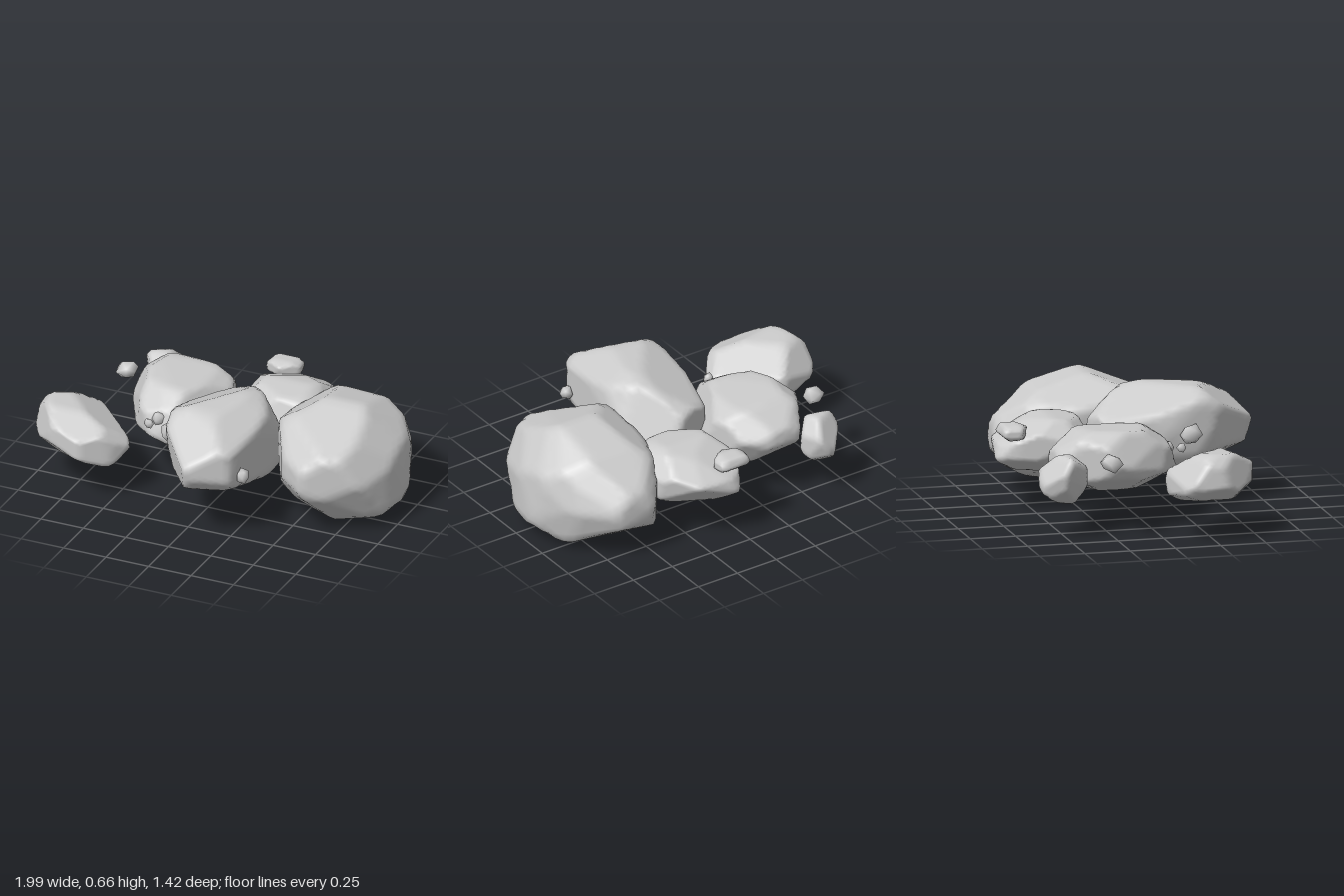
import * as THREE from 'three';
import { mergeVertices } from 'three/addons/utils/BufferGeometryUtils.js';

const material = new THREE.MeshStandardMaterial({ color: 0xcccccc });

// Right and up axes of a drawing plane turned about y, then tilted (degrees)
function plane(turn, tilt) {
  const a = THREE.MathUtils.degToRad(turn), e = THREE.MathUtils.degToRad(tilt);
  return [
    new THREE.Vector3(Math.cos(a), 0, -Math.sin(a)),
    new THREE.Vector3(-Math.sin(e) * Math.sin(a), Math.cos(e), -Math.sin(e) * Math.cos(a)),
  ];
}

const X = new THREE.Vector3(1, 0, 0), Y = new THREE.Vector3(0, 1, 0), Z = new THREE.Vector3(0, 0, 1);
const mainPlanes = [[X, Z], [X, Y], [Z, Y]];
const slantPlanes = [plane(35, 25), plane(215, 25), plane(140, -30)];

// How far direction d reaches in units of a convex outline around the centre
function gauge(outline, [right, up], d, centre) {
  const a = d.dot(right), b = d.dot(up), ca = centre.dot(right), cb = centre.dot(up);
  let g = 0;
  for (let i = 1; i < outline.length; i++) {
    const [a0, b0] = outline[i - 1], [a1, b1] = outline[i];
    const na = b1 - b0, nb = a0 - a1;
    g = Math.max(g, (na * a + nb * b) / (na * (a0 - ca) + nb * (b0 - cb)));
  }
  return g;
}

function range(outline, axis) {
  const v = outline.map((p) => p[axis]);
  return [Math.min(...v), Math.max(...v)];
}

// Sphere of welded vertices, reshaped by a rule
function ball(detail) {
  const g = new THREE.IcosahedronGeometry(1, detail);
  g.deleteAttribute('normal');
  g.deleteAttribute('uv');
  return mergeVertices(g, 1e-4);
}

// Stone blended from plan (x,z), front (x,y) and side (z,y) outlines, then cut by slanted facets
function rock(name, main, slants = [], detail = 10) {
  const [plan, front] = main;
  const lims = [range(plan, 0), range(front, 1), range(plan, 1)];
  const centre = new THREE.Vector3(...lims.map(([lo, hi]) => (lo + hi) / 2));
  const size = new THREE.Vector3(...lims.map(([lo, hi]) => (hi - lo) / 2));
  const closed = main.map((o) => [...o, o[0]]);
  const geo = ball(detail);
  const pos = geo.attributes.position;
  const d = new THREE.Vector3();
  for (let i = 0; i < pos.count; i++) {
    d.fromBufferAttribute(pos, i).multiply(size);
    const body = closed.map((o, k) => gauge(o, mainPlanes[k], d, centre));
    const cuts = slants.map((o, k) => gauge(o, slantPlanes[k], d, centre));
    const blend = (body.reduce((s, g) => s + g ** 6, 0) / 2) ** (1 / 6);
    d.divideScalar(Math.max(blend, ...body, ...cuts)).add(centre);
    pos.setXYZ(i, d.x, d.y, d.z);
  }
  geo.computeVertexNormals();
  const mesh = new THREE.Mesh(geo, material);
  mesh.name = name;
  return mesh;
}

// Octagonal outline for simple sides
function octagon(a0, a1, b0, b1) {
  const da = (a1 - a0) * 0.25, db = (b1 - b0) * 0.25;
  return [[a0 + da, b0], [a1 - da, b0], [a1, b0 + db], [a1, b1 - db],
    [a1 - da, b1], [a0 + da, b1], [a0, b1 - db], [a0, b0 + db]];
}

// Small angular stone
function pebble(name, [x, y, z], [rx, ry, rz], turn) {
  const geo = ball(0);
  const pos = geo.attributes.position;
  for (let i = 0; i < pos.count; i++) {
    const k = 1 + 0.15 * Math.sin(i * 2.4 + turn * 5);
    pos.setXYZ(i, pos.getX(i) * k, pos.getY(i) * k, pos.getZ(i) * k);
  }
  geo.rotateY(turn);
  geo.scale(rx, ry, rz);
  geo.computeVertexNormals();
  const mesh = new THREE.Mesh(geo, material);
  mesh.name = name;
  mesh.position.set(x, y, z);
  return mesh;
}

export function createModel() {
  const group = new THREE.Group();
  group.name = 'rockCluster';

  group.add(
    // Largest stone, reaching the ground
    rock('largeBoulder', [
      [[0.51, -0.6], [0.74, -0.58], [0.88, -0.46], [1, -0.15], [0.97, 0.05], [0.9, 0.26],
        [0.6, 0.385], [0.45, 0.28], [0.32, 0.05], [0.31, -0.2], [0.43, -0.5]],
      [[0.31, 0.5], [0.35, 0.56], [0.5, 0.63], [0.8, 0.62], [0.97, 0.43], [1, 0.11],
        [0.85, 0.03], [0.76, 0], [0.45, 0.12], [0.33, 0.27]],
      [[0.39, 0.29], [0.38, 0.38], [0.32, 0.49], [-0.08, 0.63], [-0.42, 0.54], [-0.57, 0.44],
        [-0.6, 0.3], [-0.57, 0.16], [-0.46, 0.09], [-0.2, 0], [0.03, 0.01], [0.17, 0.035], [0.26, 0.08]],
    ], [
      [[0.23, 0.37], [0.61, 0.51], [0.83, 0.45], [0.93, 0.31], [0.97, 0.2], [0.9, -0.07],
        [0.78, -0.19], [0.48, -0.19], [0.29, -0.06], [0.19, 0.08], [0.19, 0.24]],
      [[-0.56, 0.09], [-0.69, 0.06], [-0.91, 0.16], [-0.97, 0.32], [-0.91, 0.56],
        [-0.67, 0.73], [-0.37, 0.71], [-0.2, 0.58]],
      [[-0.85, 0.46], [-0.74, 0.65], [-0.58, 0.81], [-0.36, 0.86], [-0.06, 0.75], [0, 0.65],
        [0, 0.52], [-0.11, 0.37], [-0.27, 0.27], [-0.59, 0.17], [-0.76, 0.3], [-0.85, 0.46]],
    ]),
    // Long stone at the middle front
    rock('middleBoulder', [
      [[-0.12, -0.14], [0.1, -0.22], [0.3, -0.1], [0.34, 0.1], [0.32, 0.3], [0.3, 0.58],
        [0.07, 0.71], [-0.14, 0.52], [-0.2, 0.18]],
      [[-0.2, 0.45], [-0.17, 0.6], [-0.08, 0.66], [0.18, 0.66], [0.31, 0.6], [0.34, 0.4],
        [0.33, 0.23], [0.28, 0.19], [-0.08, 0.2], [-0.17, 0.3]],
      [[0.715, 0.48], [0.66, 0.54], [0.6, 0.58], [0.4, 0.655], [0.1, 0.66], [-0.05, 0.62],
        [-0.2, 0.5], [-0.22, 0.38], [-0.12, 0.22], [0.3, 0.18], [0.55, 0.26], [0.67, 0.32]],
    ], [
      [[0.17, 0.07], [-0.13, 0.02], [-0.34, 0.05], [-0.39, 0.37], [-0.34, 0.47], [0.15, 0.55], [0.23, 0.38]],
      [[-0.29, 0.41], [-0.16, 0.67], [0.16, 0.77], [0.41, 0.64], [0.36, 0.45]],
      [[-0.59, 0.17], [-0.46, 0.04], [-0.02, 0.08]],
    ]),
    // Stone behind on the right
    rock('rightBoulder', [
      [[-0.49, -0.51], [-0.3, -0.52], [-0.16, -0.46], [-0.07, -0.2], [-0.12, 0], [-0.2, 0.14],
        [-0.38, 0.17], [-0.56, 0.03], [-0.65, -0.2]],
      [[-0.6, 0.51], [-0.55, 0.55], [-0.2, 0.52], [-0.08, 0.45], [-0.07, 0.3], [-0.2, 0.165],
        [-0.45, 0.21], [-0.6, 0.3], [-0.65, 0.4]],
      [[0.17, 0.3], [0.12, 0.45], [0, 0.53], [-0.3, 0.55], [-0.5, 0.48], [-0.52, 0.35],
        [-0.4, 0.22], [-0.1, 0.165], [0.1, 0.2]],
    ], [
      [[-0.39, 0.23], [-0.46, 0.39], [-0.43, 0.53], [-0.35, 0.67], [-0.2, 0.73], [0.01, 0.66], [0.13, 0.54]],
      [[-0.13, 0.16], [-0.1, 0.28], [0.02, 0.41], [0.27, 0.41], [0.46, 0.3], [0.47, 0.22],
        [0.42, 0.08], [0.27, -0.02], [-0.03, 0.01], [-0.13, 0.16]],
      [[0.43, 0.51], [0.64, 0.44], [0.7, 0.38], [0.68, 0.23], [0.59, 0.1], [0.31, 0.07], [0.02, 0.08], [0.14, 0.29]],
    ]),
    // Detached stone at the front right
    rock('outerBoulder', [
      [[-0.98, 0.08], [-0.73, 0.01], [-0.43, 0.3], [-0.5, 0.42], [-0.64, 0.52], [-0.83, 0.47],
        [-0.99, 0.34], [-1, 0.2]],
      [[-1, 0.26], [-0.98, 0.45], [-0.92, 0.48], [-0.52, 0.45], [-0.43, 0.3], [-0.47, 0.22],
        [-0.62, 0.18], [-0.98, 0.24]],
      [[0.01, 0.32], [0.05, 0.45], [0.12, 0.48], [0.42, 0.48], [0.52, 0.38], [0.52, 0.28],
        [0.47, 0.18], [0.12, 0.18], [0.03, 0.22]],
    ], [
      [[-0.99, 0.39], [-0.96, 0.52], [-0.89, 0.58], [-0.66, 0.56], [-0.54, 0.42], [-0.52, 0.27],
        [-0.64, 0.16], [-0.82, 0.21], [-0.98, 0.35]],
      [[0.52, 0.23], [0.55, 0.37], [0.63, 0.39], [0.94, 0.34], [0.99, 0.13], [0.88, 0.04],
        [0.63, 0.04], [0.55, 0.1], [0.52, 0.23]],
      [[0.11, -0.13], [0.12, -0.01], [0.17, 0.04], [0.55, 0.08], [0.69, -0.08], [0.65, -0.13],
        [0.43, -0.23], [0.14, -0.17]],
    ]),
    // Stone at the back
    rock('backBoulder', [
      [[0.03, -0.72], [0.29, -0.68], [0.4, -0.56], [0.44, -0.42], [0.3, -0.16], [0.1, -0.18],
        [-0.08, -0.24], [-0.02, -0.6]],
      octagon(-0.08, 0.44, 0.2, 0.5),
      [[-0.16, 0.3], [-0.22, 0.48], [-0.4, 0.5], [-0.5, 0.48], [-0.6, 0.44], [-0.69, 0.39],
        [-0.72, 0.3], [-0.62, 0.22], [-0.3, 0.2]],
    ], [
      [[0.18, 0.52], [0.26, 0.58], [0.48, 0.56], [0.62, 0.51]],
      [[-0.64, 0.26], [-0.48, 0.42], [-0.3, 0.42], [-0.1, 0.24], [-0.26, 0.08], [-0.45, 0.02],
        [-0.62, 0.16], [-0.64, 0.26]],
      [[-0.02, 0.7], [0.06, 0.7], [0.37, 0.65], [0.43, 0.54], [0.34, 0.38], [0.13, 0.29], [-0.1, 0.37]],
    ]),
    // Medium stones: one beside the right boulder, one resting on the back boulder
    rock('cornerStone', [
      [[-0.74, -0.53], [-0.66, -0.62], [-0.54, -0.65], [-0.49, -0.5], [-0.62, -0.38]],
      octagon(-0.74, -0.49, 0.19, 0.45), octagon(-0.65, -0.38, 0.19, 0.45),
    ], [
      [],
      [[0.07, -0.02], [0.19, 0.11], [0.3, 0.06], [0.29, -0.04], [0.26, -0.14], [0.18, -0.16],
        [0.11, -0.12], [0.07, -0.02]],
      [[0.68, 0.29], [0.71, 0.38], [0.8, 0.41], [0.89, 0.29], [0.87, 0.22], [0.78, 0.14], [0.68, 0.22]],
    ], 6),
    rock('topStone', [
      [[-0.04, -0.69], [0.13, -0.7], [0.14, -0.61], [0.05, -0.54], [-0.05, -0.59]],
      octagon(-0.05, 0.14, 0.4, 0.49),
      [[-0.54, 0.47], [-0.6, 0.49], [-0.68, 0.485], [-0.7, 0.44], [-0.65, 0.4], [-0.56, 0.42]],
    ], [], 4),
  );

  // Scattered pebbles: position, radii, turn
  [
    [[-0.72, 0.42, -0.28], [0.058, 0.05, 0.065], 0.3],
    [[-0.35, 0.4, 0.125], [0.04, 0.045, 0.045], 1.1],
    [[-0.37, 0.4, 0.2], [0.03, 0.03, 0.025], 0.7],
    [[-0.21, 0.43, 0.29], [0.045, 0.06, 0.065], 1.9],
    [[0.33, 0.39, 0.52], [0.038, 0.042, 0.04], 2.5],
  ].forEach(([at, radii, turn], i) => group.add(pebble(`pebble${i + 1}`, at, radii, turn)));

  return group;
}
